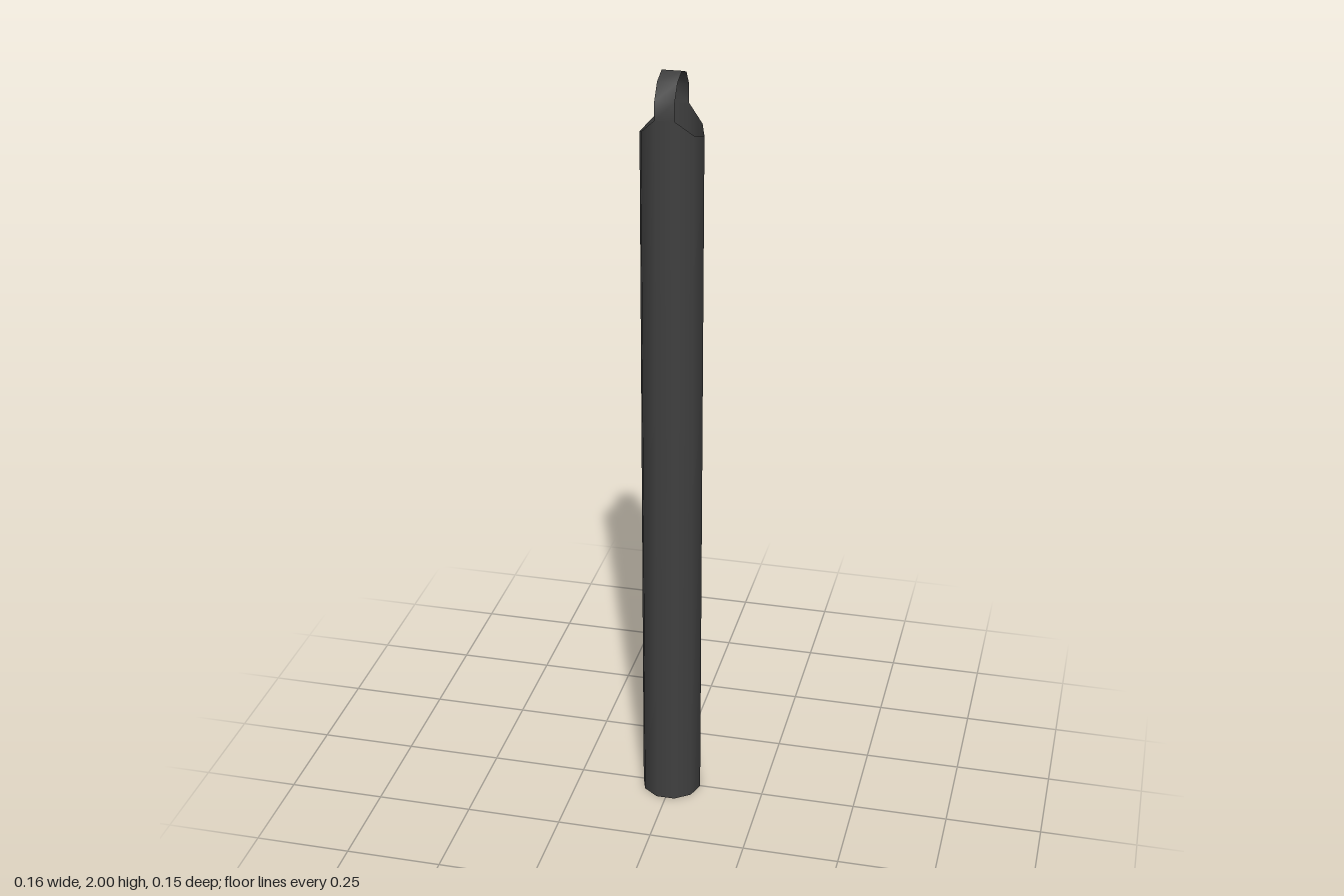
import * as THREE from 'three';

const SIDES = 10;
const RADIUS = 0.079;
const STEP = (Math.PI * 2) / SIDES;
const SHOULDER = 1.845; // lowest point of the mitred rim

// 45 degree mitre rising from both sides towards the middle
const rimHeight = (x) => SHOULDER + RADIUS - Math.abs(x);

export function createModel() {
  const group = new THREE.Group();
  const material = new THREE.MeshStandardMaterial({ color: 0x404040, side: THREE.DoubleSide });

  // Open ten-sided tube with its upper rim cut to the mitre
  const tubeGeometry = new THREE.CylinderGeometry(RADIUS, RADIUS, SHOULDER, SIDES, 1, true, STEP / 2);
  tubeGeometry.translate(0, SHOULDER / 2, 0);
  const tubePos = tubeGeometry.attributes.position;
  for (let i = 0; i < tubePos.count; i++) {
    if (tubePos.getY(i) > 1) tubePos.setY(i, rimHeight(tubePos.getX(i)));
  }
  const tube = new THREE.Mesh(tubeGeometry, material);
  tube.name = 'tube';
  group.add(tube);

  // Thin strap looping over the top, from the back facet to the front facet
  const halfWidth = RADIUS * Math.sin(STEP / 2);
  const facetZ = RADIUS * Math.cos(STEP / 2);
  const path = [[-facetZ, rimHeight(halfWidth)]];
  for (let i = -2; i <= 2; i++) {
    path.push([RADIUS * Math.sin(i * STEP), 2 - RADIUS + RADIUS * Math.cos(i * STEP)]);
  }
  path.push([facetZ, rimHeight(halfWidth)]);

  const strapGeometry = new THREE.PlaneGeometry(halfWidth * 2, 1, 1, path.length - 1);
  const strapPos = strapGeometry.attributes.position;
  for (let i = 0; i < strapPos.count; i++) {
    const [z, y] = path[Math.floor(i / 2)];
    strapPos.setXYZ(i, strapPos.getX(i), y, z);
  }
  strapGeometry.computeVertexNormals();
  const strap = new THREE.Mesh(strapGeometry, material);
  strap.name = 'hangingLoop';
  group.add(strap);

  return group;
}
